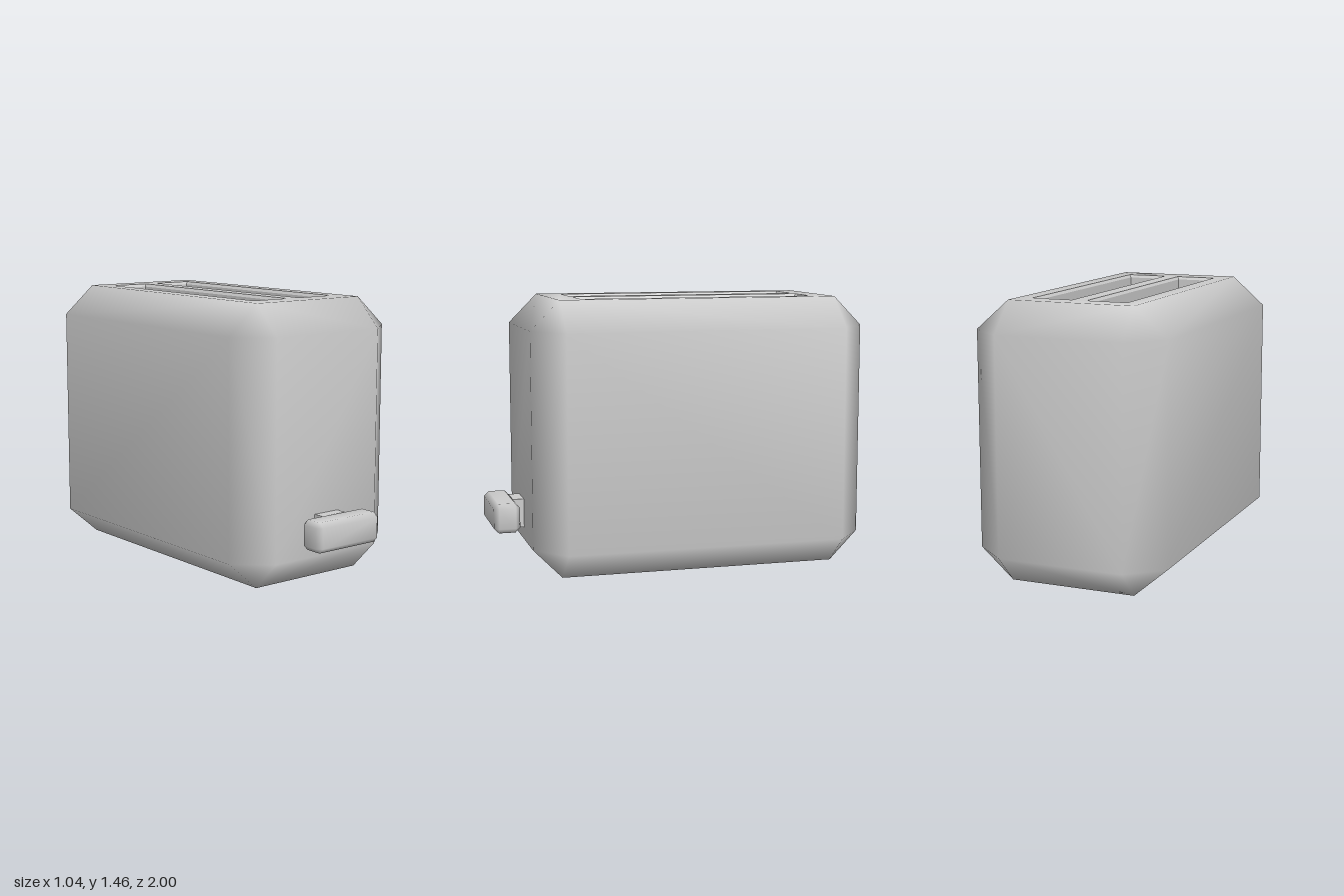
import * as THREE from 'three';
import { mergeVertices } from 'three/addons/utils/BufferGeometryUtils.js';

const TOP = 1.46;
const SLOT_BACK = -0.735, SLOT_FRONT = 0.54, SLOT_FLOOR = 0.45;

// Collects triangles, turning each one away from (or towards) a reference point
function triangleBuilder(ref, towards = false) {
  const pos = [];
  const tri = (a, b, c) => {
    const n = b.clone().sub(a).cross(c.clone().sub(a));
    const out = a.clone().add(b).add(c).divideScalar(3).sub(ref);
    const flip = (n.dot(out) < 0) !== towards;
    for (const v of flip ? [a, c, b] : [a, b, c]) pos.push(v.x, v.y, v.z);
  };
  const quad = (a, b, c, d) => { tri(a, b, c); tri(a, c, d); };
  const build = (smooth) => {
    let g = new THREE.BufferGeometry();
    g.setAttribute('position', new THREE.Float32BufferAttribute(pos, 3));
    if (smooth) g = mergeVertices(g);
    g.computeVertexNormals();
    return g;
  };
  return { tri, quad, build };
}

// Box with chamfered edges and softened normals; topHoles are [x0, x1, z0, z1]
function chamferBox(min, max, chamfer, topHoles = []) {
  const lo = new THREE.Vector3(...min), hi = new THREE.Vector3(...max);
  const centre = lo.clone().add(hi).multiplyScalar(0.5);
  const half = hi.clone().sub(lo).multiplyScalar(0.5).toArray();
  const b = triangleBuilder(centre);

  // Corner point lying on the face across the given axis
  const P = (axis, s) => new THREE.Vector3(
    ...s.map((sign, i) => sign * (half[i] - (i === axis ? 0 : chamfer[i])))).add(centre);
  const signs = (axis, s, u, v) => {
    const r = [0, 0, 0];
    r[axis] = s; r[(axis + 1) % 3] = u; r[(axis + 2) % 3] = v;
    return r;
  };

  for (let axis = 0; axis < 3; axis++) {
    const n1 = (axis + 1) % 3, n2 = (axis + 2) % 3;
    // Flat faces
    for (const s of [-1, 1]) {
      const c = [[-1, -1], [1, -1], [1, 1], [-1, 1]].map(([u, v]) => P(axis, signs(axis, s, u, v)));
      if (axis === 1 && s === 1 && topHoles.length) {
        const outline = c.map((p) => new THREE.Vector2(p.x, p.z));
        if (THREE.ShapeUtils.isClockWise(outline)) outline.reverse();
        const holes = topHoles.map(([x0, x1, z0, z1]) =>
          [[x0, z0], [x0, z1], [x1, z1], [x1, z0]].map((q) => new THREE.Vector2(...q)));
        const pts = [outline, ...holes].flat().map((q) => new THREE.Vector3(q.x, hi.y, q.y));
        for (const [i, j, k] of THREE.ShapeUtils.triangulateShape(outline, holes)) b.tri(pts[i], pts[j], pts[k]);
      } else b.quad(...c);
    }
    // Edge chamfers running along this axis
    for (const u of [-1, 1]) for (const v of [-1, 1]) {
      const s0 = signs(axis, -1, u, v), s1 = signs(axis, 1, u, v);
      b.quad(P(n1, s0), P(n1, s1), P(n2, s1), P(n2, s0));
    }
  }
  // Corner triangles
  for (const x of [-1, 1]) for (const y of [-1, 1]) for (const z of [-1, 1]) {
    b.tri(P(0, [x, y, z]), P(1, [x, y, z]), P(2, [x, y, z]));
  }
  return b.build(true);
}

// Open well: small sloping rim, straight walls and a floor
function slotWell([x0, x1, z0, z1]) {
  const b = triangleBuilder(new THREE.Vector3((x0 + x1) / 2, TOP + 0.1, (z0 + z1) / 2), true);
  const ring = (d, y) => [[x0 + d, z0 + d], [x1 - d, z0 + d], [x1 - d, z1 - d], [x0 + d, z1 - d]]
    .map(([x, z]) => new THREE.Vector3(x, y, z));
  const rings = [ring(0, TOP), ring(0.01, TOP - 0.015), ring(0.01, SLOT_FLOOR)];
  for (let r = 0; r < 2; r++) for (let i = 0; i < 4; i++) {
    const j = (i + 1) % 4;
    b.quad(rings[r][i], rings[r][j], rings[r + 1][j], rings[r + 1][i]);
  }
  b.quad(...rings[2]);
  return b.build(false);
}

export function createModel() {
  const model = new THREE.Group();
  model.name = 'toaster';
  const grey = new THREE.MeshStandardMaterial({ color: 0xcccccc });
  grey.name = 'light grey';
  const add = (name, geometry) => {
    const mesh = new THREE.Mesh(geometry, grey);
    mesh.name = name;
    model.add(mesh);
  };

  // Body with two bread slots cut into the top
  const leftSlot = [0.04, 0.26, SLOT_BACK, SLOT_FRONT];
  const rightSlot = [-0.26, -0.04, SLOT_BACK, SLOT_FRONT];
  add('body', chamferBox([-0.52, 0, -1], [0.52, TOP, 0.82], [0.18, 0.157, 0.155], [leftSlot, rightSlot]));
  add('leftSlot', slotWell(leftSlot));
  add('rightSlot', slotWell(rightSlot));

  // Push-down lever on the front
  add('leverHandle', chamferBox([-0.212, 0.224, 0.86], [0.212, 0.382, 1], [0.026, 0.026, 0.026]));
  const stem = new THREE.BoxGeometry(0.156, 0.154, 0.08);
  stem.translate(-0.005, 0.303, 0.84);
  add('leverStem', stem);

  return model;
}
